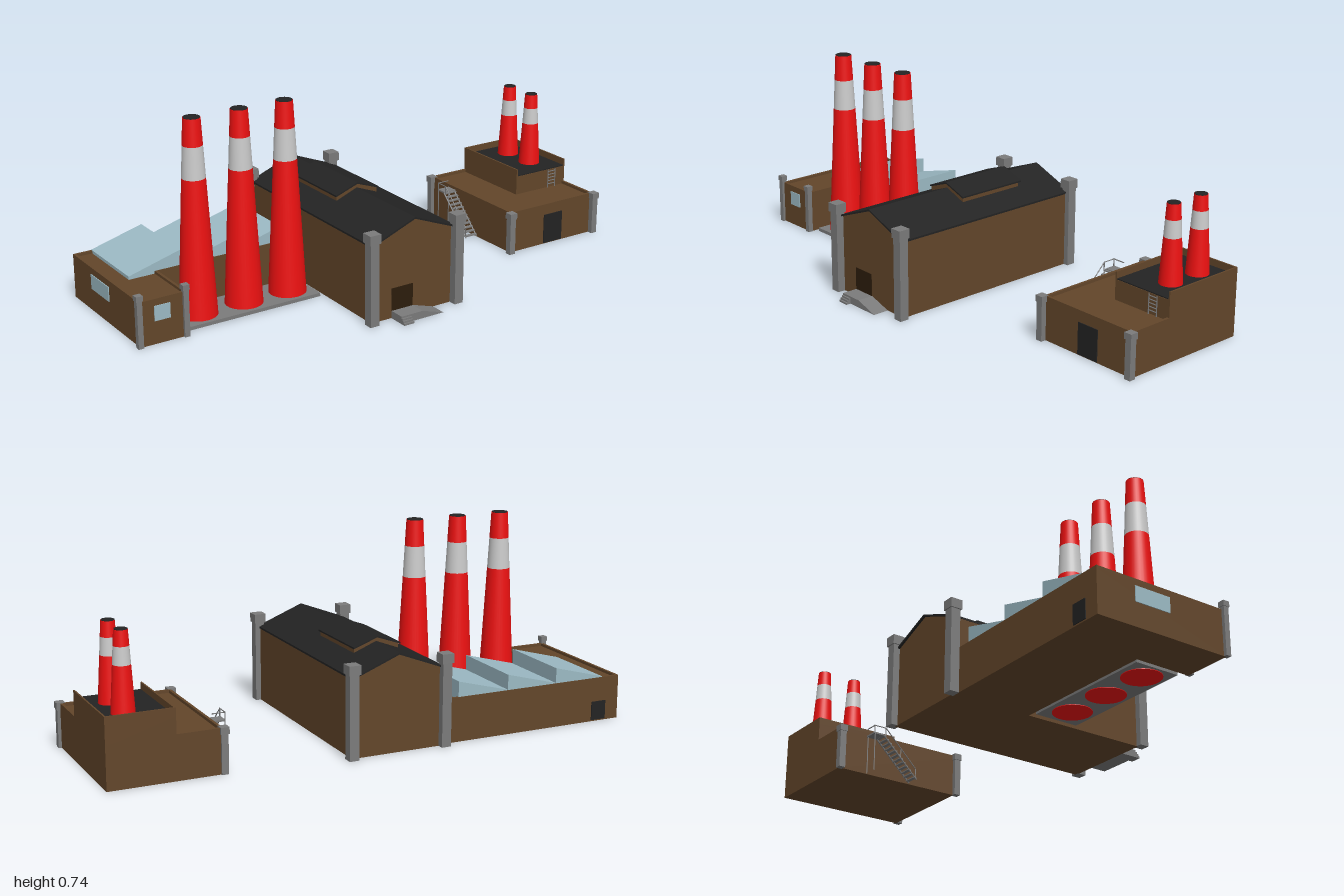
import * as THREE from 'three';

const mat = (color) => new THREE.MeshStandardMaterial({ color });
const BRICK = mat(0x63462a), DARK = mat(0x232323), RED = mat(0xee1111), BAND = mat(0xc0c0c0);
const GLASS = mat(0x9cbac4), STONE = mat(0x7b7b7b), DOORWAY = mat(0x2c1d0c);

function add(parent, name, geometry, material) {
  const mesh = new THREE.Mesh(geometry, material);
  mesh.name = name;
  parent.add(mesh);
  return mesh;
}

// Box given by its limits on each axis
function block(parent, name, x0, x1, y0, y1, z0, z1, material) {
  const mesh = add(parent, name, new THREE.BoxGeometry(x1 - x0, y1 - y0, z1 - z0), material);
  mesh.position.set((x0 + x1) / 2, (y0 + y1) / 2, (z0 + z1) / 2);
  return mesh;
}

const shapeOf = (points) => new THREE.Shape(points.map(([a, b]) => new THREE.Vector2(a, b)));

// x-y profile extruded from z0 to z1
function prism(parent, name, points, z0, z1, material) {
  const geometry = new THREE.ExtrudeGeometry(shapeOf(points), { depth: z1 - z0, bevelEnabled: false });
  geometry.translate(0, 0, z0);
  return add(parent, name, geometry, material);
}

// x-z outline extruded from y0 to y1, optionally with a hole
function slab(parent, name, outline, y0, y1, material, hole) {
  const flip = (points) => points.map(([x, z]) => [x, -z]);
  const shape = shapeOf(flip(outline));
  if (hole) shape.holes.push(shapeOf(flip(hole)));
  const geometry = new THREE.ExtrudeGeometry(shape, { depth: y1 - y0, bevelEnabled: false });
  geometry.rotateX(-Math.PI / 2).translate(0, y0, 0);
  return add(parent, name, geometry, material);
}

// Square corner pillar with a wider cap
function pillar(parent, x, z, width, height) {
  const r = width / 2, cap = r * 1.25, capHeight = width * 0.95;
  const group = new THREE.Group();
  group.name = 'cornerPillar';
  block(group, 'pillarShaft', x - r, x + r, 0, height - capHeight, z - r, z + r, STONE);
  block(group, 'pillarCap', x - cap, x + cap, height - capHeight, height, z - cap, z + cap, STONE);
  parent.add(group);
}

// Tapered stack in three coloured bands with a dark mouth
function chimney(parent, x, z, levels, rBottom, rTop) {
  const group = new THREE.Group();
  group.name = 'chimney';
  const bottom = levels[0], top = levels[3];
  const radius = (y) => rBottom + (rTop - rBottom) * (y - bottom) / (top - bottom);
  ['lowerBand', 'middleBand', 'upperBand'].forEach((name, i) => {
    const a = levels[i], b = levels[i + 1];
    const mesh = add(group, name, new THREE.CylinderGeometry(radius(b), radius(a), b - a, 32), i === 1 ? BAND : RED);
    mesh.position.y = (a + b) / 2;
  });
  const mouth = add(group, 'chimneyMouth', new THREE.CylinderGeometry(rTop * 0.95, rTop * 0.95, 0.004, 32), DARK);
  mouth.position.y = top;
  group.position.set(x, 0, z);
  parent.add(group);
}

// Thin round bar between two points
function bar(parent, name, a, b, r = 0.002) {
  const path = new THREE.LineCurve3(new THREE.Vector3(...a), new THREE.Vector3(...b));
  add(parent, name, new THREE.TubeGeometry(path, 1, r, 6), STONE);
}

function buildHall() {
  const g = new THREE.Group();
  g.name = 'mainHall';
  const xl = -0.235, xr = 0.12, xm = -0.0575;
  prism(g, 'hallWalls', [[xl, 0], [xr, 0], [xr, 0.285], [xm, 0.355], [xl, 0.285]], -0.425, 0.375, BRICK);
  prism(g, 'hallRoof', [[xl - 0.003, 0.284], [xm, 0.354], [xr + 0.003, 0.284], [xr + 0.003, 0.291],
    [xm, 0.361], [xl - 0.003, 0.291]], -0.433, 0.384, DARK);
  // Raised ridge section
  prism(g, 'ridgeWalls', [[-0.145, 0.31], [0.03, 0.31], [0.03, 0.345], [xm, 0.378], [-0.145, 0.345]], -0.255, 0.02, BRICK);
  prism(g, 'ridgeRoof', [[-0.15, 0.343], [xm, 0.376], [0.035, 0.343], [0.035, 0.349], [xm, 0.382], [-0.15, 0.349]],
    -0.265, 0.025, DARK);
  for (const x of [-0.239, 0.122]) for (const z of [-0.432, 0.387]) pillar(g, x, z, 0.036, 0.34);
  block(g, 'hallDoor', -0.15, -0.06, 0.028, 0.112, 0.37, 0.377, DOORWAY);
  block(g, 'hallWindow', -0.238, -0.23, 0.2, 0.255, -0.28, -0.13, GLASS);
  // Entrance landing with a ramp on one side and steps in front
  block(g, 'landing', -0.15, -0.06, 0, 0.028, 0.375, 0.437, STONE);
  prism(g, 'ramp', [[-0.06, 0], [0.03, 0], [-0.06, 0.028]], 0.375, 0.437, STONE);
  for (let i = 0; i < 3; i++) {
    block(g, 'step', -0.15, -0.108, 0, 0.021 - i * 0.007, 0.437, 0.443 + i * 0.006, STONE);
  }
  return g;
}

function buildWorkshop() {
  const g = new THREE.Group();
  g.name = 'workshop';
  const outline = [[-0.985, -0.415], [-0.985, 0.105], [-0.805, 0.105], [-0.805, -0.11], [-0.235, -0.11], [-0.235, -0.415]];
  const inner = [[-0.975, -0.405], [-0.975, 0.095], [-0.815, 0.095], [-0.815, -0.12], [-0.245, -0.12], [-0.245, -0.405]];
  slab(g, 'workshopWalls', outline, 0, 0.155, BRICK);
  slab(g, 'workshopParapet', outline, 0.155, 0.165, BRICK, inner);
  // Sawtooth glass roof
  for (let i = 0; i < 3; i++) {
    const x = -0.915 + i * 0.2035;
    prism(g, 'skylight', [[x, 0.155], [x + 0.202, 0.155], [x + 0.202, 0.222], [x, 0.167]], -0.413, -0.112, GLASS);
  }
  for (const x of [-0.987, -0.812]) pillar(g, x, 0.105, 0.02, 0.192);
  block(g, 'frontWindow', -0.93, -0.87, 0.085, 0.14, 0.1, 0.108, GLASS);
  block(g, 'sideWindow', -0.988, -0.98, 0.085, 0.14, -0.265, -0.125, GLASS);
  block(g, 'backDoor', -0.93, -0.87, 0.005, 0.075, -0.418, -0.41, DARK);
  // Pad carrying the three tall stacks
  block(g, 'chimneyPad', -0.785, -0.255, 0.002, 0.015, -0.095, 0.078, STONE);
  for (const x of [-0.705, -0.522, -0.342]) chimney(g, x, -0.006, [0, 0.52, 0.636, 0.733], 0.07, 0.031);
  return g;
}

function buildAnnex() {
  const g = new THREE.Group();
  g.name = 'annex';
  block(g, 'annexWalls', 0.575, 0.985, 0, 0.152, -0.38, 0.13, BRICK);
  slab(g, 'annexParapet', [[0.575, -0.38], [0.575, 0.13], [0.985, 0.13], [0.985, -0.38]], 0.152, 0.163, BRICK,
    [[0.585, -0.37], [0.585, 0.12], [0.975, 0.12], [0.975, -0.37]]);
  // Upper storey with a parapet on three sides
  block(g, 'upperStorey', 0.74, 0.985, 0.152, 0.226, -0.38, -0.042, BRICK);
  block(g, 'upperRoof', 0.745, 0.98, 0.224, 0.23, -0.375, -0.044, DARK);
  for (const x of [0.74, 0.979]) block(g, 'upperParapet', x, x + 0.006, 0.226, 0.255, -0.38, -0.042, BRICK);
  block(g, 'upperParapet', 0.746, 0.979, 0.226, 0.255, -0.38, -0.374, BRICK);
  for (const z of [-0.15, -0.285]) chimney(g, 0.89, z, [0.225, 0.397, 0.46, 0.515], 0.042, 0.024);
  for (const [x, z] of [[0.572, 0.138], [0.984, 0.138], [0.572, -0.375]]) pillar(g, x, z, 0.025, 0.166);
  block(g, 'annexDoor', 0.74, 0.83, 0.003, 0.12, 0.125, 0.133, DARK);

  // Roof ladder
  for (const x of [0.897, 0.933]) bar(g, 'ladderRail', [x, 0.152, -0.037], [x, 0.228, -0.037]);
  for (let i = 0; i < 5; i++) bar(g, 'ladderRung', [0.897, 0.167 + i * 0.013, -0.037], [0.933, 0.167 + i * 0.013, -0.037]);

  // Outside stair climbing along the side wall
  const count = 12;
  const stair = new THREE.Group();
  stair.name = 'sideStair';
  for (let i = 0; i < count; i++) {
    const y = 0.012 + i * 0.0125, z = -0.075 - i * 0.0125;
    block(stair, 'tread', 0.522, 0.574, y - 0.004, y, z - 0.014, z, STONE);
  }
  block(stair, 'stairLanding', 0.522, 0.576, 0.146, 0.152, -0.266, -0.222, STONE);
  for (const x of [0.522, 0.572]) {
    bar(stair, 'stringer', [x, 0.003, -0.075], [x, 0.148, -0.225], 0.003);
    bar(stair, 'stairPost', [x, 0, -0.262], [x, 0.148, -0.262]);
  }
  bar(stair, 'handrail', [0.522, 0.045, -0.08], [0.522, 0.178, -0.215]);
  bar(stair, 'handrail', [0.522, 0.178, -0.215], [0.522, 0.178, -0.264]);
  bar(stair, 'handrail', [0.522, 0.178, -0.264], [0.572, 0.178, -0.264]);
  for (const [y, z] of [[0.01, -0.08], [0.075, -0.147], [0.148, -0.215], [0.148, -0.264]]) {
    bar(stair, 'railPost', [0.522, y, z], [0.522, y + 0.033, z]);
  }
  g.add(stair);
  return g;
}

export function createModel() {
  const model = new THREE.Group();
  model.name = 'factory';
  model.add(buildHall(), buildWorkshop(), buildAnnex());
  return model;
}
